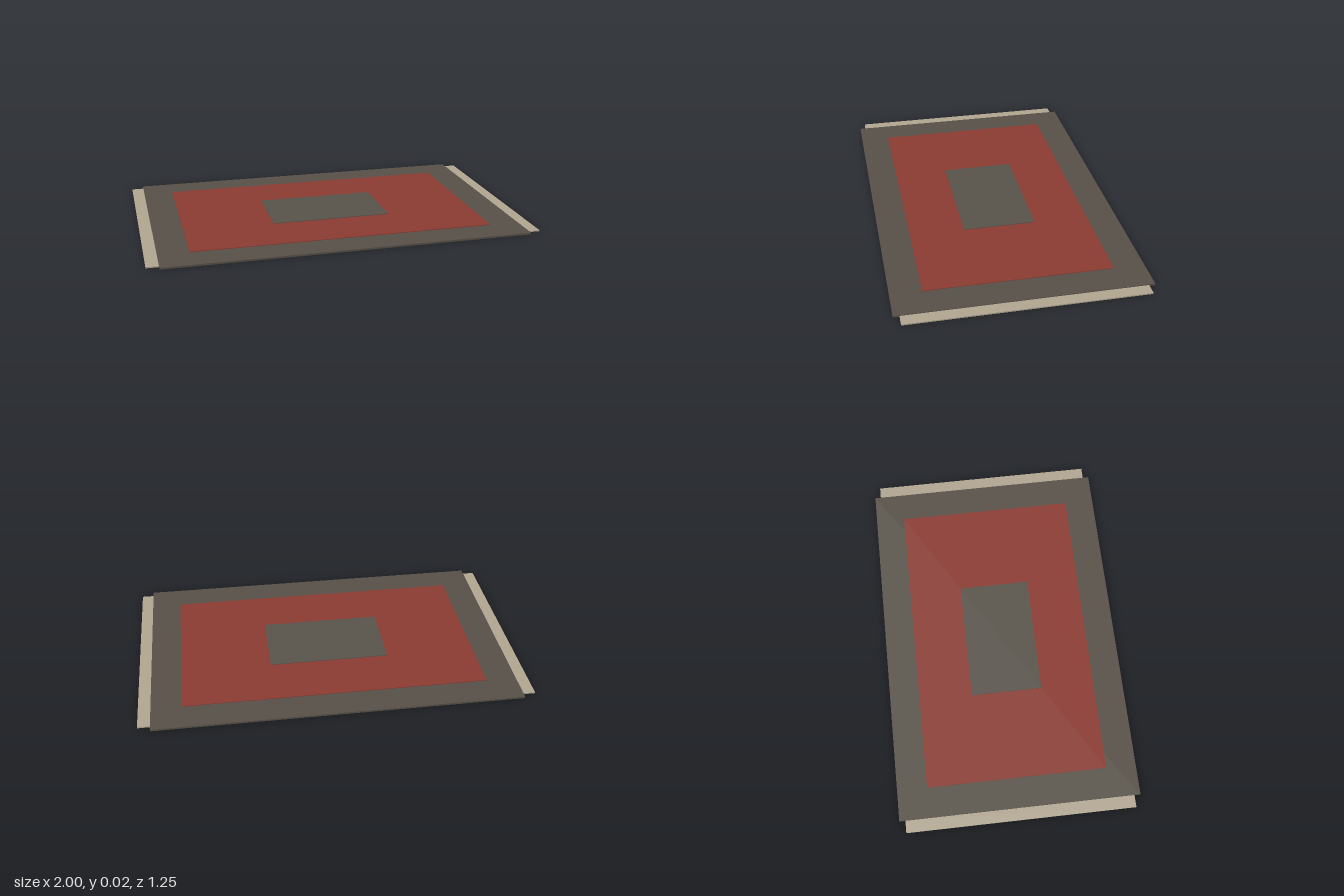
import * as THREE from 'three';

export function createModel() {
  const group = new THREE.Group();
  group.name = 'rug';

  // Flat slab standing on height y0 and reaching y1
  function slab(name, width, depth, y0, y1, color, x = 0) {
    const mesh = new THREE.Mesh(
      new THREE.BoxGeometry(width, y1 - y0, depth),
      new THREE.MeshStandardMaterial({ color })
    );
    mesh.name = name;
    mesh.position.set(x, (y0 + y1) / 2, 0);
    group.add(mesh);
  }

  // Stacked layers: dark border, red field, central panel
  slab('border', 1.875, 1.25, 0, 0.0094, 0x575047);
  slab('field', 1.5625, 0.9375, 0.0094, 0.0125, 0x8b3a32);
  slab('centrePanel', 0.625, 0.375, 0.0125, 0.0156, 0x58534a);

  // Thin pale fringe at each short end
  for (const [name, side] of [['leftFringe', 1], ['rightFringe', -1]]) {
    slab(name, 0.0625, 1.1875, 0, 0.006, 0xb0a590, side * 0.96875);
  }

  return group;
}
